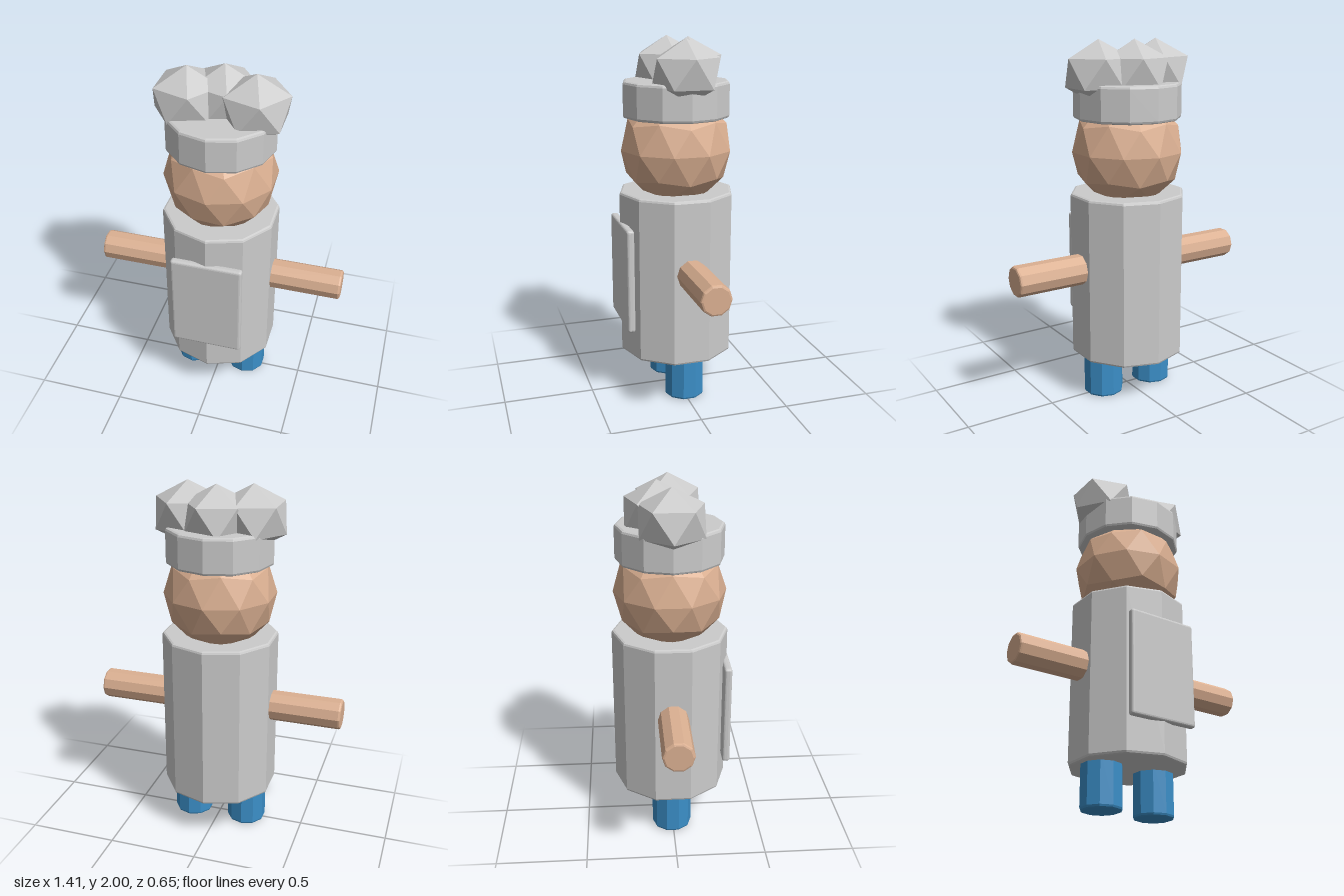
import * as THREE from 'three';
import { RoundedBoxGeometry } from 'three/addons/geometries/RoundedBoxGeometry.js';

const Z = -0.006; // shared axis of the figure

const makeMaterial = (color) => new THREE.MeshStandardMaterial({ color, flatShading: true });

// Faceted upright prism with a small bevel at both rims, standing on y = 0
function prism(radius, height, sides, bevel) {
  const profile = [
    [0, 0], [radius - bevel, 0], [radius - bevel * 0.3, bevel * 0.3], [radius, bevel],
    [radius, height - bevel], [radius - bevel * 0.3, height - bevel * 0.3], [radius - bevel, height], [0, height],
  ].map(([x, y]) => new THREE.Vector2(x, y));
  return new THREE.LatheGeometry(profile, sides);
}

// Icosahedron turned so that one corner points straight up
function icoSphere(radius, detail) {
  const t = (1 + Math.sqrt(5)) / 2;
  return new THREE.IcosahedronGeometry(radius, detail).rotateZ(-Math.atan(1 / t));
}

export function createModel() {
  const model = new THREE.Group();
  model.name = 'figure';
  const grey = makeMaterial(0xcccccc);
  const skin = makeMaterial(0xdbb092);
  const blue = makeMaterial(0x3b8fc8);

  const add = (name, geometry, material, x, y, z = Z) => {
    const mesh = new THREE.Mesh(geometry, material);
    mesh.name = name;
    mesh.position.set(x, y, z);
    model.add(mesh);
    return mesh;
  };

  // Torso, apron and head
  add('torso', prism(0.323, 0.935, 10, 0.014), grey, 0, 0.237);
  add('apron', new RoundedBoxGeometry(0.4, 0.585, 0.043, 2, 0.015), grey, 0, 0.71, 0.304);
  add('head', icoSphere(0.31, 1), skin, 0, 1.4);

  // Arms and legs, mirrored
  for (const [side, s] of [['left', 1], ['right', -1]]) {
    const arm = add(side + 'Arm', prism(0.085, 0.505, 10, 0.012), skin, s * 0.2, 0.762);
    arm.rotation.z = -s * Math.PI / 2;
    add(side + 'Leg', prism(0.112, 0.3, 10, 0.014), blue, s * 0.164, 0);
  }

  // Hat: a band with three puffs on top
  add('hatBand', prism(0.295, 0.197, 12, 0.015), grey, 0, 1.575);
  for (const [name, x, z] of [['leftPuff', 0.18, Z], ['middlePuff', 0, -0.075], ['rightPuff', -0.18, Z]]) {
    add(name, icoSphere(0.2, 0).scale(1, 0.87, 1), grey, x, 1.826, z);
  }

  return model;
}
